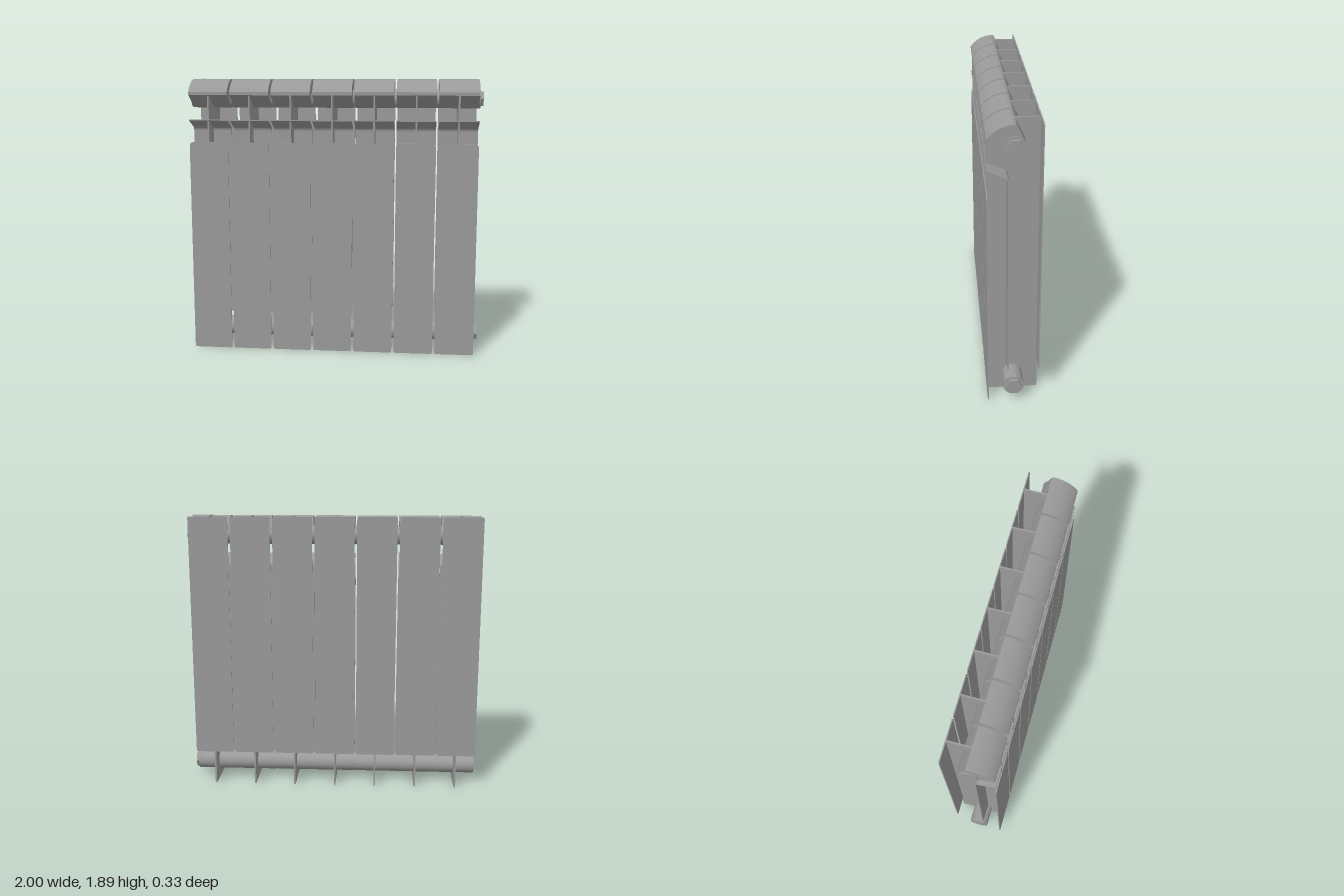
import * as THREE from 'three';
import { toCreasedNormals } from 'three/addons/utils/BufferGeometryUtils.js';

const SECTIONS = 7, PITCH = 0.2823, WIDTH = 0.266;
const TOP_PIPE = 1.755, LOW_PIPE = 0.12, PIPE_R = 0.065;
const material = new THREE.MeshStandardMaterial({ color: 0x9a9a9a });
const rad = THREE.MathUtils.degToRad;

function mesh(name, geometry, x = 0, y = 0, z = 0) {
  const m = new THREE.Mesh(geometry, material);
  m.name = name;
  m.position.set(x, y, z);
  return m;
}

// Extrudes a (z, y) profile along x, centred on x = 0
function extrudeX(shape, width) {
  const g = new THREE.ExtrudeGeometry(shape, { depth: width, bevelEnabled: false, curveSegments: 24 });
  g.translate(0, 0, -width / 2).rotateY(-Math.PI / 2);
  return toCreasedNormals(g, rad(30));
}

// Upright sheet with rounded corners
function sheet(y0, y1, rBottom, rTop, depth) {
  const w = WIDTH / 2, s = new THREE.Shape();
  s.moveTo(-w + rBottom, y0);
  s.lineTo(w - rBottom, y0);
  s.quadraticCurveTo(w, y0, w, y0 + rBottom);
  s.lineTo(w, y1 - rTop);
  s.quadraticCurveTo(w, y1, w - rTop, y1);
  s.lineTo(-w + rTop, y1);
  s.quadraticCurveTo(-w, y1, -w, y1 - rTop);
  s.lineTo(-w, y0 + rBottom);
  s.quadraticCurveTo(-w, y0, -w + rBottom, y0);
  return new THREE.ExtrudeGeometry(s, { depth, bevelEnabled: false, curveSegments: 6 });
}

function cylinderX(radius, length, sides = 40) {
  return new THREE.CylinderGeometry(radius, radius, length, sides).rotateZ(Math.PI / 2);
}

// Curved hood with a small rounded crest, flowing tangentially into the upper pipe
function hoodGeometry() {
  const s = new THREE.Shape();
  s.moveTo(0.163, 1.778);
  s.lineTo(0.163, 1.8);
  s.absarc(0, 1.686, 0.199, rad(35), rad(90), false);
  s.absarc(0, 1.873, 0.012, rad(90), rad(153), false);
  s.absarc(0, TOP_PIPE, PIPE_R, rad(153), rad(302), false);
  s.closePath();
  return extrudeX(s, WIDTH);
}

// Central web joining front, fin, back and both pipes
function ribGeometry() {
  const s = new THREE.Shape();
  s.moveTo(-0.1635, 0.001);
  s.lineTo(0.16, 0.001);
  s.lineTo(0.16, 1.782);
  s.absarc(0, 1.686, 0.196, rad(35), rad(90), false);
  s.lineTo(0, 1.885);
  s.lineTo(-0.1635, 1.885);
  s.closePath();
  return extrudeX(s, 0.011);
}

// Inner fin, bent forward into an air deflector at its top
function finGeometry() {
  const s = new THREE.Shape();
  s.moveTo(0.028, 0.235);
  s.lineTo(0.039, 0.235);
  s.lineTo(0.039, 1.53);
  s.quadraticCurveTo(0.039, 1.551, 0.056, 1.559);
  s.lineTo(0.163, 1.606);
  s.lineTo(0.163, 1.613);
  s.lineTo(0.052, 1.567);
  s.quadraticCurveTo(0.028, 1.557, 0.028, 1.53);
  s.closePath();
  return extrudeX(s, WIDTH);
}

export function createModel() {
  const group = new THREE.Group();
  group.name = 'radiator';

  const front = sheet(0, 1.46, 0.015, 0.03, 0.007);
  const back = sheet(0.235, 1.886, 0.012, 0.012, 0.007);
  const hood = hoodGeometry(), rib = ribGeometry(), fin = finGeometry();
  const pipe = cylinderX(PIPE_R, WIDTH);
  const joint = cylinderX(0.063, PITCH);

  // Repeated sections
  for (let i = 0; i < SECTIONS; i++) {
    const section = new THREE.Group();
    section.name = 'section';
    section.position.x = -0.857 + i * PITCH;
    section.add(
      mesh('frontPanel', front, 0, 0, 0.157),
      mesh('backPanel', back, 0, 0, -0.164),
      mesh('hood', hood),
      mesh('rib', rib),
      mesh('fin', fin),
      mesh('lowerPipe', pipe, 0, LOW_PIPE),
      mesh('lowerJoint', joint, 0, LOW_PIPE),
      mesh('upperJoint', joint, 0, TOP_PIPE)
    );
    group.add(section);
  }

  // Hexagonal end plugs on the left side
  for (const y of [LOW_PIPE, TOP_PIPE]) {
    const plug = new THREE.Group();
    plug.name = 'endPlug';
    plug.position.y = y;
    plug.add(
      mesh('plugFlange', cylinderX(PIPE_R, 0.007), 0.977),
      mesh('plugHex', toCreasedNormals(cylinderX(0.055, 0.024, 6), rad(30)), 0.988)
    );
    group.add(plug);
  }
  return group;
}
